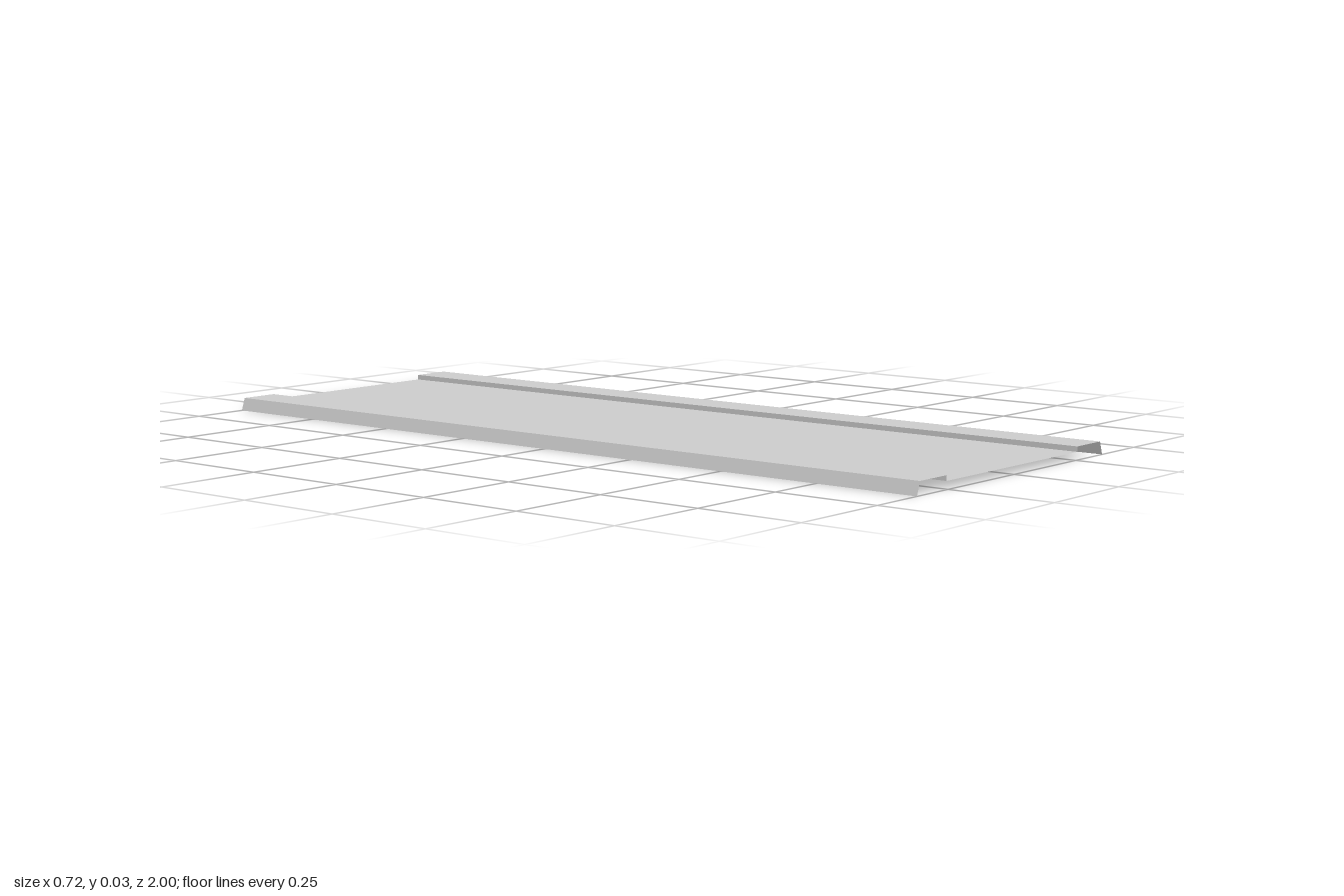
import * as THREE from 'three';

// Folded sheet-metal panel: one thin profile swept straight along z
export function createModel() {
  const group = new THREE.Group();
  group.name = 'foldedPanel';
  const material = new THREE.MeshStandardMaterial({
    color: 0xcccccc, flatShading: true, side: THREE.DoubleSide,
  });
  const halfLength = 1;

  // Flat strip between two profile points, facing up when a is left of b
  function strip(name, [ax, ay], [bx, by]) {
    const geometry = new THREE.BufferGeometry();
    geometry.setAttribute('position', new THREE.Float32BufferAttribute([
      ax, ay, halfLength, bx, by, halfLength,
      bx, by, -halfLength, ax, ay, -halfLength,
    ], 3));
    geometry.setIndex([0, 1, 2, 0, 2, 3]);
    geometry.computeVertexNormals();
    const mesh = new THREE.Mesh(geometry, material);
    mesh.name = name;
    group.add(mesh);
  }

  // Half profile from the outer lip to the foot of the step
  const half = [[0.362, 0], [0.352, 0.03], [0.256, 0.03], [0.256, 0.018]];
  const names = ['Lip', 'Flange', 'Step'];
  const mirror = ([x, y]) => [-x, y];

  // Lip, raised flange and step on both sides
  names.forEach((name, i) => {
    strip('right' + name, mirror(half[i]), mirror(half[i + 1]));
    strip('left' + name, half[i + 1], half[i]);
  });

  // Recessed middle sheet
  strip('centrePanel', mirror(half[3]), half[3]);

  return group;
}
